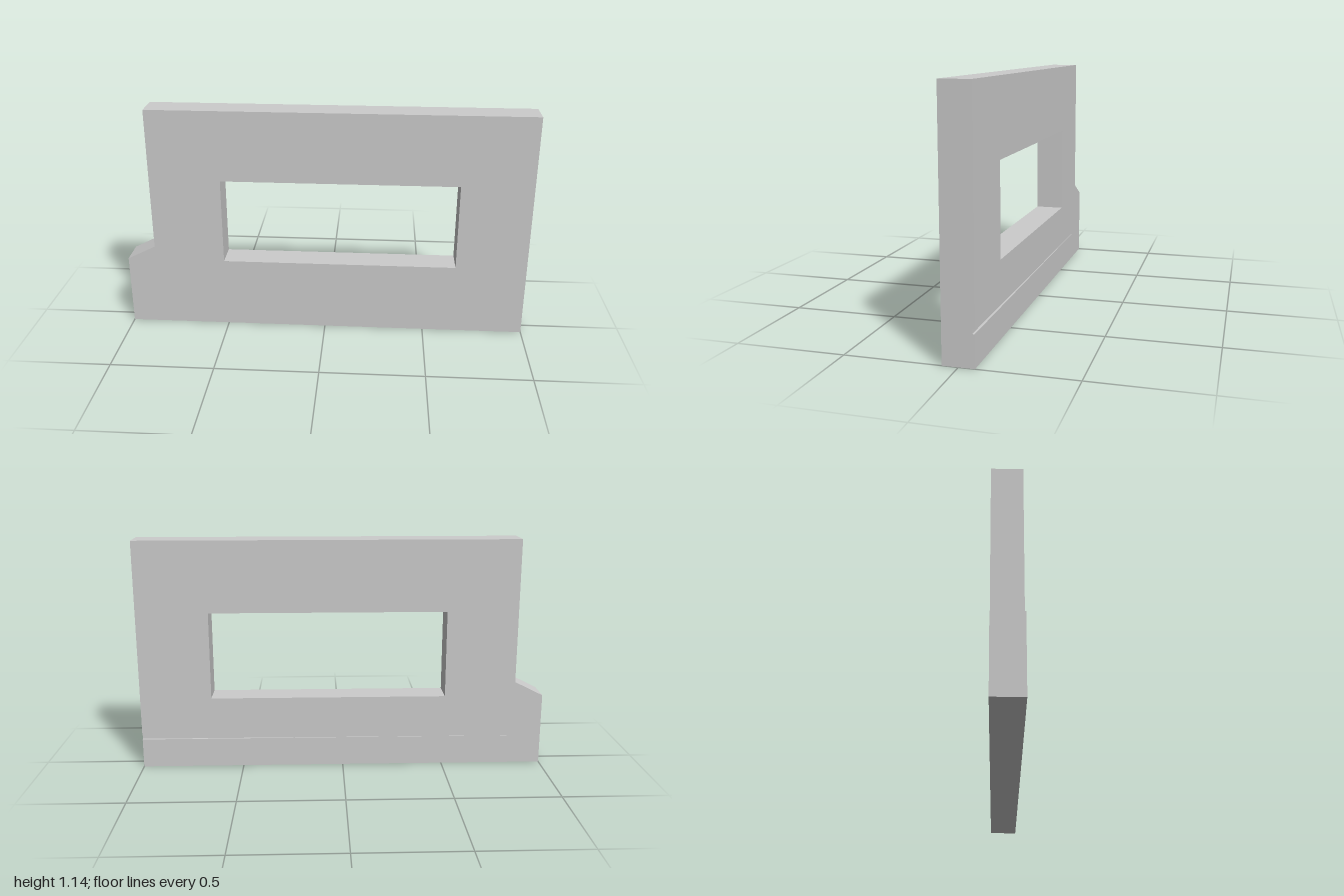
import * as THREE from 'three';

const WIDTH = 2, HEIGHT = 1.136, DEPTH = 0.14;
const GROOVE_LOW = 0.144, GROOVE_HIGH = 0.166, GROOVE_DEPTH = 0.011;

const polygon = (points) => new THREE.Shape(points.map(([x, y]) => new THREE.Vector2(x, y)));

export function createModel() {
  const model = new THREE.Group();
  const material = new THREE.MeshStandardMaterial({ color: 0xcccccc, flatShading: true });

  const add = (name, geometry) => {
    const mesh = new THREE.Mesh(geometry, material);
    mesh.name = name;
    model.add(mesh);
  };

  // Wall panel above the groove: stepped, sloped shoulder and a window opening
  const panel = polygon([
    [-1, GROOVE_HIGH], [1, GROOVE_HIGH], [1, HEIGHT],
    [-0.86, HEIGHT], [-0.86, 0.425], [-1, 0.355],
  ]);
  panel.holes.push(polygon([[-0.51, 0.355], [-0.51, 0.785], [0.65, 0.785], [0.65, 0.355]]));
  const panelGeometry = new THREE.ExtrudeGeometry(panel, { depth: DEPTH, bevelEnabled: false });
  panelGeometry.translate(0, 0, -DEPTH / 2);
  add('windowPanel', panelGeometry);

  // Strip whose back face forms the groove floor, running out to nothing at the right end
  const plan = polygon([
    [-1, -DEPTH / 2], [1, -DEPTH / 2],
    [1, DEPTH / 2 - GROOVE_DEPTH], [-1, DEPTH / 2],
  ]);
  const strip = new THREE.ExtrudeGeometry(plan, { depth: GROOVE_HIGH - GROOVE_LOW, bevelEnabled: false });
  strip.rotateX(-Math.PI / 2).translate(0, GROOVE_LOW, 0);
  add('grooveStrip', strip);

  // Plain base below the groove
  const base = new THREE.BoxGeometry(WIDTH, GROOVE_LOW, DEPTH);
  base.translate(0, GROOVE_LOW / 2, 0);
  add('base', base);

  return model;
}
